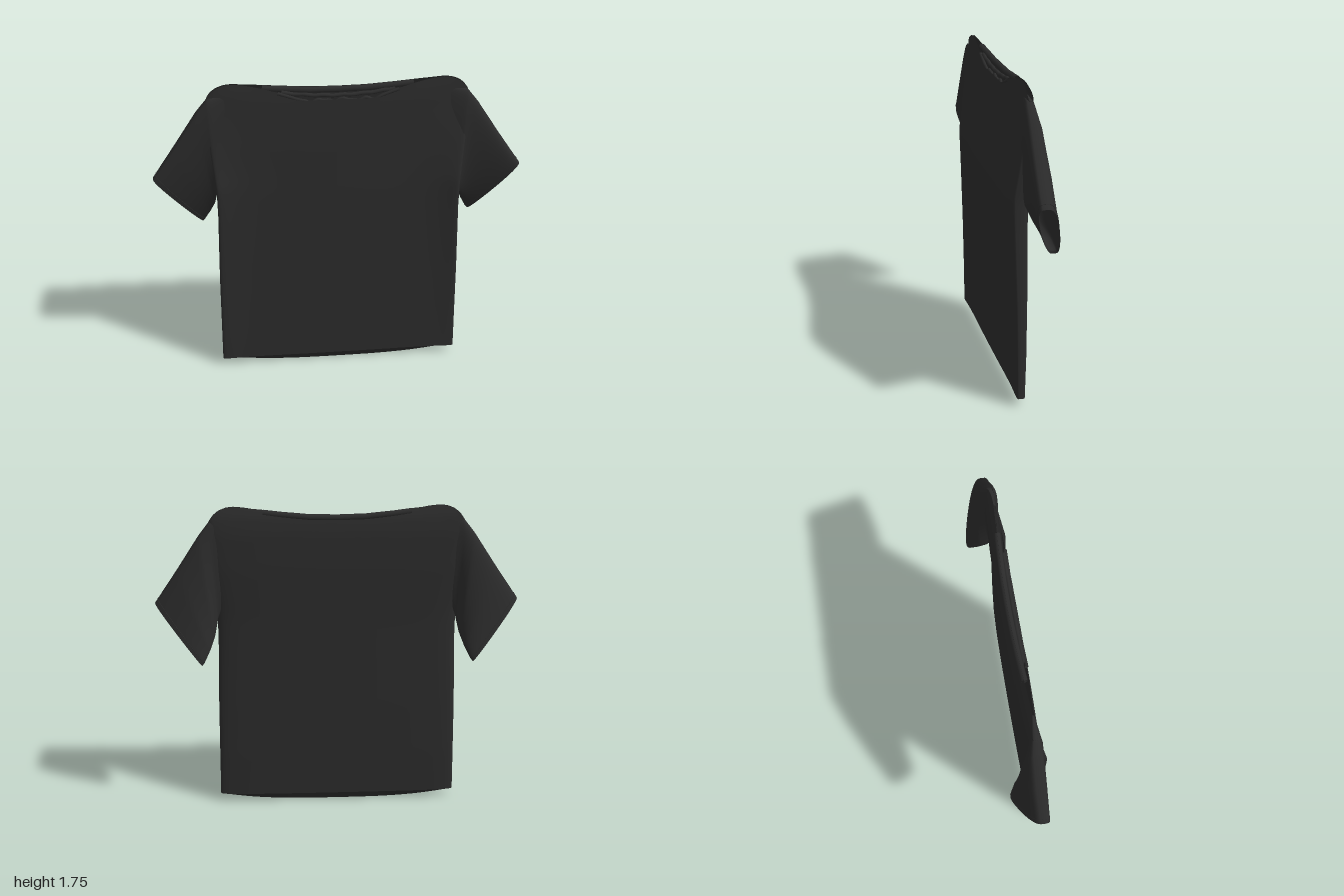
import * as THREE from 'three';

const fabric = new THREE.MeshStandardMaterial({ color: 0x2b2b2b, side: THREE.DoubleSide });
fabric.name = 'charcoal fabric';

// linear interpolation through [position, value] pairs
function curve(pairs, t) {
  if (t <= pairs[0][0]) return pairs[0][1];
  for (let i = 1; i < pairs.length; i++) {
    const [a, va] = pairs[i - 1], [b, vb] = pairs[i];
    if (t <= b) return va + (vb - va) * (t - a) / (b - a);
  }
  return pairs[pairs.length - 1][1];
}

// skin over closed rings of points
function loft(name, rows, cols, point) {
  const pos = [], idx = [];
  for (let r = 0; r <= rows; r++)
    for (let c = 0; c < cols; c++) pos.push(...point(r / rows, c / cols * Math.PI * 2));
  for (let r = 0; r < rows; r++)
    for (let c = 0; c < cols; c++) {
      const a = r * cols + c, b = r * cols + (c + 1) % cols;
      idx.push(a, a + cols, b, b, a + cols, b + cols);
    }
  const g = new THREE.BufferGeometry();
  g.setAttribute('position', new THREE.Float32BufferAttribute(pos, 3));
  g.setIndex(idx);
  g.computeVertexNormals();
  const mesh = new THREE.Mesh(g, fabric);
  mesh.name = name;
  return mesh;
}

// body measurements by height
const halfWidth = [[0.05, 0.678], [0.6, 0.671], [1.0, 0.661], [1.15, 0.662], [1.42, 0.688], [1.75, 0.69]];
const frontZ = [[0.05, 0.08], [0.6, 0.077], [1.1, 0.075], [1.4, 0.069], [1.65, 0.055], [1.72, 0.046], [1.75, 0.037]];
const backZ = [[0.05, 0.02], [0.3, 0.009], [0.6, 0.003], [1.1, -0.003], [1.4, -0.016], [1.6, -0.014], [1.7, 0], [1.75, 0.025]];
// forward swell of the side seams, strongest at the armpit
const sideSwell = [[0.05, 0.025], [0.6, 0.045], [1.0, 0.065], [1.17, 0.075], [1.4, 0.035], [1.62, 0]];
// neckline and shoulder heights by distance from the centre
const shoulder = [[0.5, 1.744], [0.56, 1.75], [0.6, 1.745], [0.64, 1.728], [0.67, 1.703], [0.69, 1.675]];
const frontTop = [[0, 1.652], [0.19, 1.65], [0.24, 1.672], [0.32, 1.7], [0.42, 1.728], ...shoulder];
const backTop = [[0, 1.708], [0.15, 1.711], [0.3, 1.724], [0.4, 1.735], ...shoulder];

function bodyPoint(v, a) {
  const u = Math.cos(a), s = Math.sin(a), edge = Math.abs(u);
  const top = curve(s > 0 ? frontTop : backTop, edge * 0.69);
  const y = 0.05 + (top - 0.05) * v;
  const front = curve(frontZ, y), back = curve(backZ, y);
  const blend = Math.sign(s) * Math.abs(s) ** 0.4;
  const swell = curve(sideSwell, y) * edge ** 7 * (1 + blend) / 2;
  return [u * curve(halfWidth, y), y, (front + back) / 2 + blend * (front - back) / 2 + swell];
}

// under-fold closing the bottom to a shallow curved crease
function hemPoint(v, a) {
  const [x, y, z] = bodyPoint(0, a);
  const drop = 0.046 * (1 - Math.abs(Math.cos(a)) ** 3);
  return [x, y - drop * v, z + (0.052 - z) * v * 0.95];
}

// sleeve sections: top x y z, bottom x y z, half thickness
const sections = [
  [0.57, 1.70, 0.03, 0.60, 1.26, 0.035, 0.015],
  [0.685, 1.678, 0.03, 0.657, 1.13, 0.035, 0.036],
  [0.75, 1.595, 0.025, 0.675, 1.04, -0.012, 0.048],
  [0.87, 1.412, 0.025, 0.70, 0.975, -0.052, 0.053],
  [0.975, 1.258, 0.028, 0.73, 0.915, -0.08, 0.05],
  [0.998, 1.225, 0.028, 0.745, 0.893, -0.086, 0.048],
];
function sleevePoint(v, a, side, shrink) {
  const q = sections[0].map((_, k) => curve(sections.map((sec, i) => [i / 5, sec[k]]), v));
  const c = Math.cos(a) * shrink, s = Math.sin(a);
  const bulge = Math.sign(s) * Math.abs(s) ** 0.55 * q[6] * (1 + 0.15 * c) * shrink;
  const at = k => (q[k] + q[k + 3]) / 2 + (q[k] - q[k + 3]) / 2 * c;
  return [side * at(0), at(1), at(2) + bulge];
}

function tube(name, points, radius, closed = false) {
  const path = new THREE.CatmullRomCurve3(points.map(p => new THREE.Vector3(...p)), closed);
  const mesh = new THREE.Mesh(new THREE.TubeGeometry(path, 96, radius, 8, closed), fabric);
  mesh.name = name;
  return mesh;
}

// line of points across the neck
function across(reach, n, fn) {
  return Array.from({ length: n + 1 }, (_, i) => {
    const x = reach * (2 * i / n - 1);
    return [x, ...fn(x)];
  });
}

export function createModel() {
  const shirt = new THREE.Group();
  shirt.name = 'shirt';
  shirt.add(loft('body', 48, 120, bodyPoint));
  shirt.add(loft('hemUnderside', 3, 120, hemPoint));

  for (const side of [1, -1]) {
    const sleeve = new THREE.Group();
    sleeve.name = side > 0 ? 'leftSleeve' : 'rightSleeve';
    sleeve.add(loft('sleeveOuter', 30, 48, (v, a) => sleevePoint(v, a, side, 1)));
    // turned-in cuff lining
    sleeve.add(loft('cuffLining', 8, 48, (v, a) => sleevePoint(1 - v * 0.35, a, side, 1 - Math.min(1, v * 8) * 0.06)));
    // stitched ridge above the cuff
    const ring = Array.from({ length: 32 }, (_, i) => sleevePoint(0.86, i / 32 * Math.PI * 2, side, 1));
    sleeve.add(tube('cuffStitch', ring, 0.002, true));
    shirt.add(sleeve);
  }

  // collapsed collar: rolled back rim, rumpled front rim and an inner fold
  shirt.add(tube('backCollarRoll', across(0.4, 16, x => [curve(backTop, Math.abs(x)) - 0.017, 0.008 + 0.08 * x * x]), 0.017));
  shirt.add(tube('frontCollar', across(0.32, 36, x => {
    const rumple = Math.abs(x) < 0.22 ? 0.006 * Math.sin(x * 53) + 0.004 * Math.sin(x * 97) : 0;
    return [curve(frontTop, Math.abs(x)) - 0.006 + rumple, 0.046];
  }), 0.009));
  shirt.add(tube('innerCollarFold', across(0.3, 20, x => [1.668 + 0.28 * x * x + 0.002 * Math.sin(x * 60), 0.034]), 0.011));
  return shirt;
}
